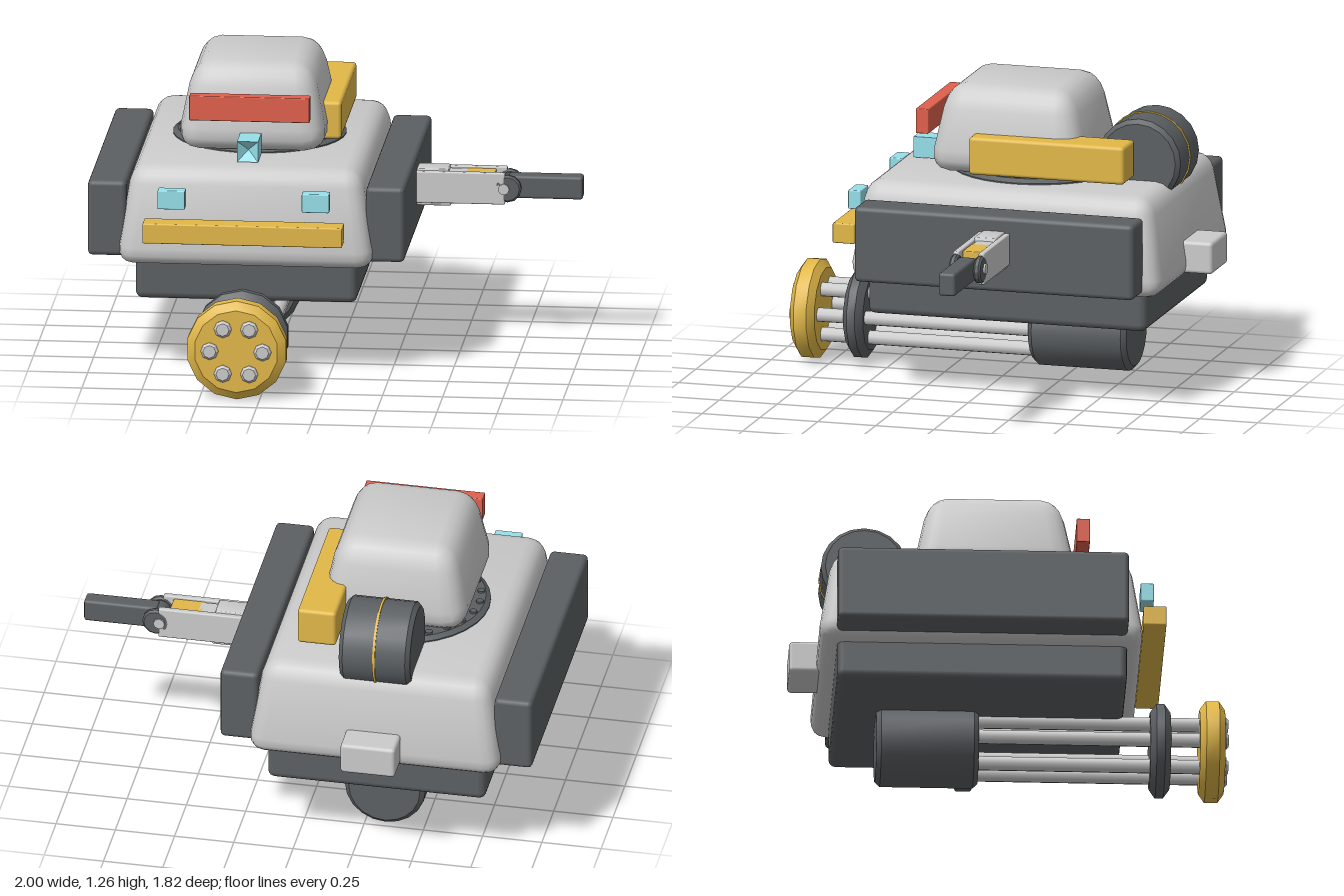
import * as THREE from 'three';
import { RoundedBoxGeometry } from 'three/addons/geometries/RoundedBoxGeometry.js';
import { toCreasedNormals } from 'three/addons/utils/BufferGeometryUtils.js';

const paint = (color) => new THREE.MeshStandardMaterial({ color });
const GREY = paint(0xcccccc), DARK = paint(0x5c6063), YELLOW = paint(0xe2b848);
const RED = paint(0xe0604c), CYAN = paint(0x96e0ea);
const CX = -0.345; // centre line of the hull

export function createModel() {
  const model = new THREE.Group();

  const add = (name, geometry, material, x = 0, y = 0, z = 0, parent = model) => {
    const mesh = new THREE.Mesh(geometry, material);
    mesh.name = name;
    mesh.position.set(x, y, z);
    parent.add(mesh);
    return mesh;
  };

  // Rounded box given by its limits; taper pulls the top edges inwards
  const block = (name, material, [x0, x1], [y0, y1], [z0, z1], radius = 0.015, taper = 0, parent = model) => {
    const w = x1 - x0, h = y1 - y0, d = z1 - z0;
    let geometry = new RoundedBoxGeometry(w, h, d, 2, radius);
    if (taper) {
      const p = geometry.attributes.position;
      for (let i = 0; i < p.count; i++) {
        const t = p.getY(i) / h + 0.5;
        p.setX(i, p.getX(i) * (1 - (2 * taper * t) / w));
        p.setZ(i, p.getZ(i) * (1 - (2 * taper * t) / d));
      }
      geometry = toCreasedNormals(geometry, 0.6);
    }
    return add(name, geometry, material, (x0 + x1) / 2, (y0 + y1) / 2, (z0 + z1) / 2, parent);
  };

  // Turned part along y from [radius, height] pairs
  const turned = (points, sides = 20, crease = 0.5) =>
    toCreasedNormals(new THREE.LatheGeometry(points.map(([r, h]) => new THREE.Vector2(r, h)), sides), crease);

  // Chamfered disc or drum, centred on its own axis
  const drum = (r, length, bevel, side = bevel, sides = 20) => turned([
    [0, -length / 2], [r - bevel, -length / 2], [r, -length / 2 + side],
    [r, length / 2 - side], [r - bevel, length / 2], [0, length / 2]], sides);

  // Hull, chassis and side pods
  block('hull', GREY, [-0.885, 0.195], [0.475, 0.89], [-0.81, 0.55], 0.075, 0.065);
  block('chassis', DARK, [-0.805, 0.115], [0.32, 0.54], [-0.725, 0.475], 0.03);
  for (const s of [-1, 1]) {
    const x = CX + s * 0.578;
    block(s < 0 ? 'rightPod' : 'leftPod', DARK, [x - 0.08, x + 0.08], [0.5, 0.82], [-0.73, 0.475], 0.02);
    block('headlight', CYAN, [CX + s * 0.3 - 0.057, CX + s * 0.3 + 0.057], [0.735, 0.815], [0.535, 0.59], 0.005);
  }
  block('bumper', YELLOW, [-0.76, 0.07], [0.6, 0.685], [0.545, 0.64], 0.006);
  block('rearBox', GREY, [-0.46, -0.23], [0.5, 0.635], [-0.91, -0.74], 0.015);

  // Turret with its ring, visor, sensor and side box
  add('turretRing', drum(0.36, 0.06, 0.02, 0.015, 32), DARK, CX, 0.88, -0.13);
  for (let i = 0; i < 24; i++) {
    const a = (i / 24) * Math.PI * 2;
    add('ringBolt', new THREE.CylinderGeometry(0.016, 0.016, 0.02, 8), DARK,
      CX + Math.cos(a) * 0.32, 0.908, -0.13 + Math.sin(a) * 0.32);
  }
  block('turret', GREY, [-0.665, -0.025], [0.895, 1.265], [-0.41, 0.28], 0.1, 0.075);
  block('visor', RED, [-0.595, -0.095], [1.05, 1.155], [0.275, 0.33], 0.004);
  const sensor = add('sensor', turned([[0, 0], [0.062, 0], [0.062, 0.15], [0, 0.11]], 4), CYAN);
  sensor.rotation.y = Math.PI / 4;
  const sensorMount = new THREE.Group();
  sensorMount.name = 'sensorMount';
  sensorMount.position.set(CX, 0.94, 0.25);
  sensorMount.rotation.x = Math.PI / 2;
  sensorMount.add(sensor);
  model.add(sensorMount);
  block('turretSideBox', YELLOW, [-0.15, 0.012], [0.915, 1.075], [-0.6, 0.07], 0.015);

  // Ammunition drum behind the turret
  add('ammoDrum', drum(0.18, 0.3, 0.018), DARK, CX, 0.967, -0.6).rotation.z = Math.PI / 2;
  add('drumBand', new THREE.CylinderGeometry(0.185, 0.185, 0.01, 20), YELLOW, CX, 0.967, -0.6).rotation.z = Math.PI / 2;

  // Rotary gun, built along +z
  const gun = new THREE.Group();
  gun.name = 'rotaryGun';
  gun.position.set(CX, 0.215, 0);
  model.add(gun);
  const gunPart = (name, geometry, material, x, y, z) => {
    add(name, geometry, material, x, y, z, gun).rotation.x = Math.PI / 2;
  };
  gunPart('gunMotor', drum(0.17, 0.425, 0.02), DARK, 0, 0, -0.3375);
  gunPart('barrelClamp', drum(0.195, 0.085, 0.035, 0.025, 14), DARK, 0, 0, 0.628);
  gunPart('muzzleDisc', drum(0.21, 0.105, 0.035, 0.025, 14), YELLOW, 0, 0, 0.843);
  for (let i = 0; i < 6; i++) {
    const a = (i * Math.PI) / 3, x = Math.cos(a) * 0.11, y = Math.sin(a) * 0.11;
    gunPart('barrel', new THREE.CylinderGeometry(0.03, 0.03, 1.08, 10), GREY, x, y, 0.36);
    gunPart('muzzle', drum(0.037, 0.08, 0.01, 0.01, 8), GREY, x, y, 0.87);
  }

  // Folding arm on the left side
  const arm = new THREE.Group();
  arm.name = 'arm';
  arm.position.z = -0.13;
  model.add(arm);
  block('armBase', GREY, [0.3, 0.455], [0.605, 0.76], [-0.058, 0.058], 0.006, 0.012, arm);
  block('armCore', GREY, [0.44, 0.52], [0.65, 0.745], [-0.036, 0.036], 0.004, 0, arm);
  block('armInset', YELLOW, [0.5, 0.635], [0.65, 0.745], [-0.04, 0.04], 0.004, 0, arm);
  for (const s of [-1, 1]) {
    block('armRail', GREY, [0.3, 0.68], [0.618, 0.752], [s * 0.055 - 0.013, s * 0.055 + 0.013], 0.006, 0, arm);
    add('elbowCap', drum(0.058, 0.03, 0.008, 0.008, 12), DARK, 0.69, 0.685, s * 0.053, arm).rotation.x = Math.PI / 2;
    add('elbowBolt', new THREE.CylinderGeometry(0.024, 0.024, 0.012, 8), GREY, 0.675, 0.685, s * 0.07, arm).rotation.x = Math.PI / 2;
  }
  add('elbowPin', new THREE.CylinderGeometry(0.045, 0.045, 0.1, 12), DARK, 0.69, 0.685, 0, arm).rotation.x = Math.PI / 2;
  block('forearm', DARK, [0.69, 1], [0.638, 0.735], [-0.036, 0.036], 0.012, 0, arm);

  // Rest the lowest point on the ground
  const box = new THREE.Box3().setFromObject(model);
  model.children.forEach((part) => { part.position.y -= box.min.y; });
  return model;
}
